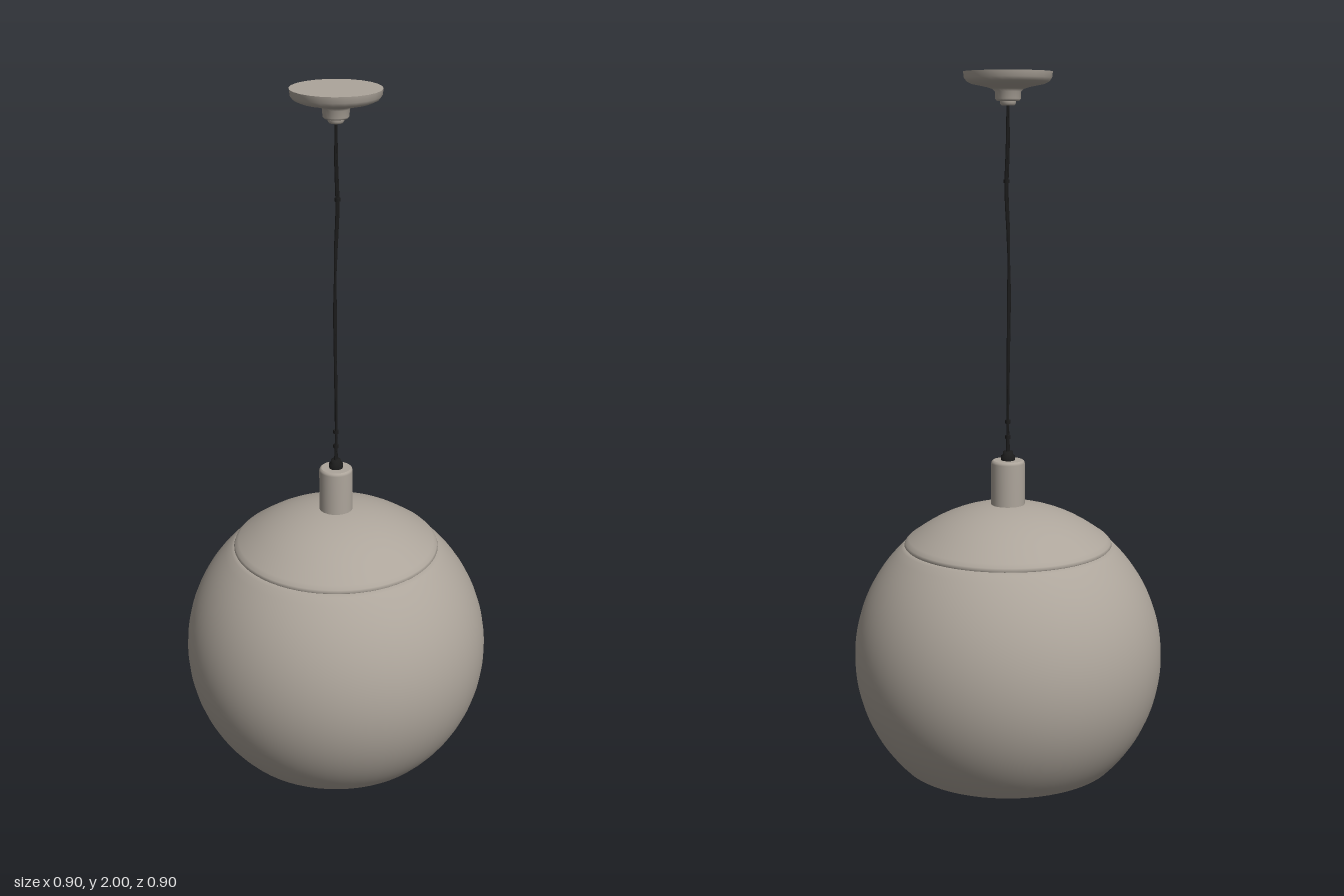
import * as THREE from 'three';

export function createModel() {
  const model = new THREE.Group();
  model.name = 'pendantLamp';
  const metal = new THREE.MeshStandardMaterial({ color: 0xada59b, side: THREE.DoubleSide });
  metal.name = 'warmGreyMetal';
  const black = new THREE.MeshStandardMaterial({ color: 0x1c1c1c });
  black.name = 'blackCord';

  const add = (name, geometry, material) => {
    const mesh = new THREE.Mesh(geometry, material);
    mesh.name = name;
    model.add(mesh);
    return mesh;
  };
  // Revolves [radius, y] points, listed from bottom to top
  const turned = (name, points, material, sides = 32) =>
    add(name, new THREE.LatheGeometry(points.map(([r, y]) => new THREE.Vector2(r, y)), sides), material);

  // Globe shade, open at the bottom
  const R = 0.452, CY = 0.318;
  const arc = (from, to, steps) => Array.from({ length: steps + 1 }, (_, i) => {
    const y = from + (to - from) * i / steps;
    return [Math.sqrt(R * R - (y - CY) ** 2), y];
  });
  turned('globeShade', [...arc(0, 0.645, 36), [0.302, 0.65], [0.292, 0.65]], metal, 64);

  // Domed cap with a rolled rim, set into the top of the globe
  const dome = [[0.298, 0.648], [0.303, 0.653], [0.3, 0.661], [0.29, 0.671]];
  for (let i = 1; i <= 12; i++) {
    const r = 0.285 * (1 - i / 12);
    dome.push([r, 0.322 + Math.sqrt(R * R - r * r)]);
  }
  turned('domeCap', dome, metal, 64);

  // Socket sleeve and cable grip
  turned('socketSleeve', [[0.049, 0.76], [0.049, 0.893], [0.047, 0.899], [0.043, 0.902]], metal);
  turned('sleeveTop', [[0.043, 0.902], [0, 0.902]], metal);
  turned('cableGrip', [[0.02, 0.9], [0.021, 0.915], [0.014, 0.917], [0.014, 0.928], [0, 0.928]], black, 12);

  // Two slack strands, loosely intertwined
  const strands = [
    [[0.002, 0.92, -0.004], [0, 1.02, -0.005], [-0.002, 1.2, 0.001], [-0.004, 1.4, 0.004],
      [0.001, 1.55, 0.002], [0.006, 1.68, -0.004], [0.002, 1.8, -0.006], [0, 1.92, -0.005]],
    [[-0.002, 0.92, 0.004], [0.001, 1.02, 0.002], [0, 1.2, -0.003], [-0.001, 1.4, 0.001],
      [-0.002, 1.55, 0.003], [0.002, 1.68, 0.001], [-0.001, 1.8, 0.004], [0, 1.92, 0.003]],
  ];
  strands.forEach((points, i) => {
    const path = new THREE.CatmullRomCurve3(points.map(p => new THREE.Vector3(...p)));
    add('cordStrand' + (i + 1), new THREE.TubeGeometry(path, 48, 0.0038, 6), black);
  });

  // Small clips holding the strands together
  for (const [x, y, z] of [[0, 0.97, -0.001], [0, 1.015, -0.001], [0.004, 1.7, -0.002]]) {
    add('cordClip', new THREE.CylinderGeometry(0.008, 0.008, 0.01, 8), black).position.set(x, y, z);
  }

  // Ceiling canopy: cord nipple, cup, dish and flat top
  turned('cordNipple', [[0, 1.908], [0.018, 1.908], [0.022, 1.913], [0.022, 1.92]], metal, 20);
  turned('canopyCup', [[0.022, 1.92], [0.032, 1.921], [0.036, 1.926], [0.037, 1.946], [0.044, 1.953]], metal, 24);
  turned('canopyDish', [[0.044, 1.953], [0.06, 1.958], [0.08, 1.962], [0.1, 1.966], [0.116, 1.973],
    [0.123, 1.983], [0.125, 2]], metal, 24);
  turned('canopyTop', [[0.125, 2], [0, 2]], metal, 24);

  return model;
}
